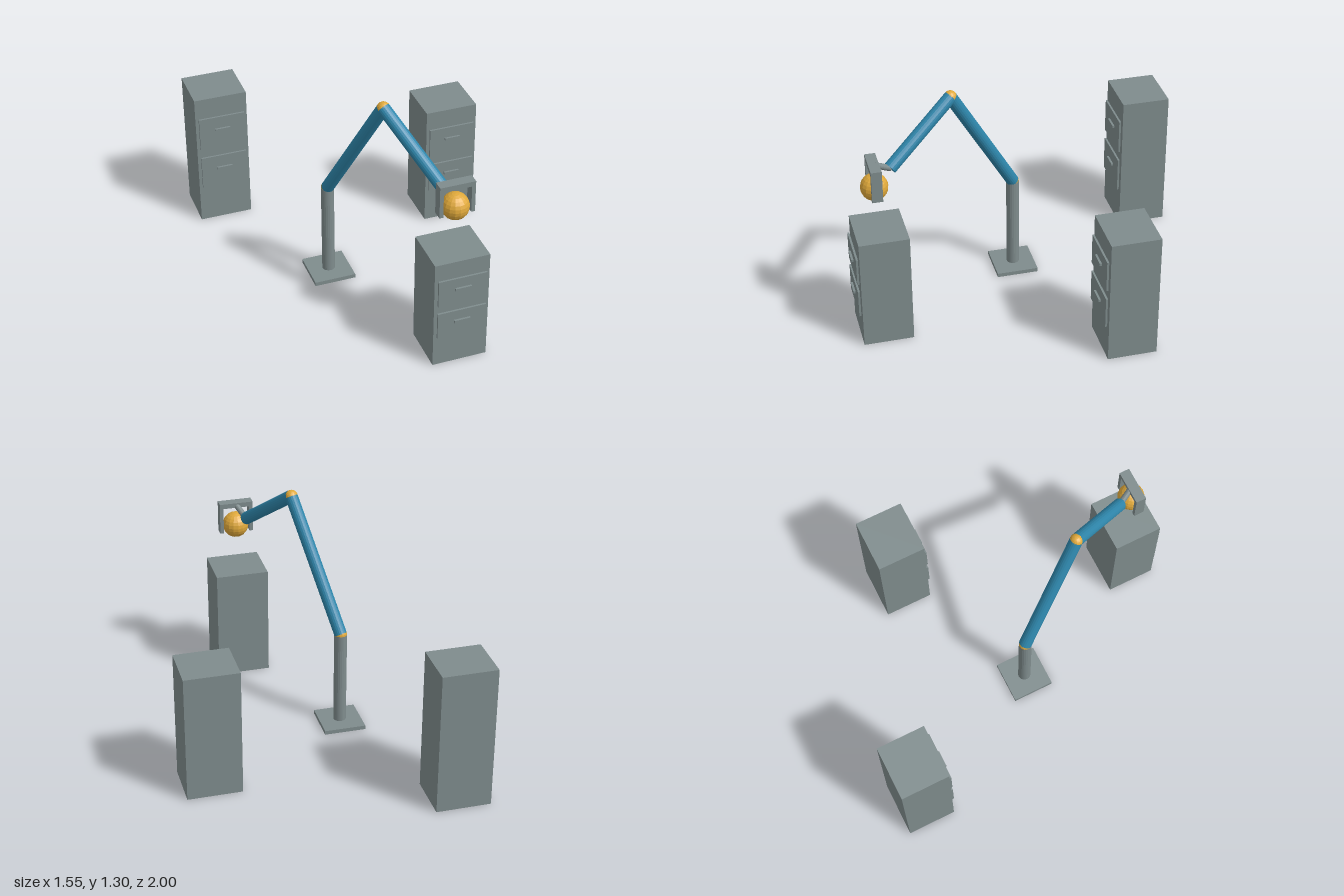
import * as THREE from 'three';

const gray = new THREE.MeshStandardMaterial({ color: 0x7f8c8d });
const blue = new THREE.MeshStandardMaterial({ color: 0x2e86ab });
const amber = new THREE.MeshStandardMaterial({ color: 0xe0a93b });
gray.name = 'steelGray';
blue.name = 'armBlue';
amber.name = 'amber';
for (const m of [gray, blue, amber]) m.flatShading = true;

function add(parent, name, geometry, material, x, y, z) {
  const mesh = new THREE.Mesh(geometry, material);
  mesh.name = name;
  mesh.position.set(x, y, z);
  parent.add(mesh);
  return mesh;
}

const box = (parent, name, w, h, d, x, y, z) =>
  add(parent, name, new THREE.BoxGeometry(w, h, d), gray, x, y, z);

const ball = (parent, name, r, p) =>
  add(parent, name, new THREE.SphereGeometry(r, 16, 12), amber, p.x, p.y, p.z);

// Cylinder running from point a to point b
function rod(parent, name, a, b, r, material) {
  const dir = b.clone().sub(a);
  const mid = a.clone().add(b).multiplyScalar(0.5);
  const mesh = add(parent, name, new THREE.CylinderGeometry(r, r, dir.length(), 20), material, mid.x, mid.y, mid.z);
  mesh.quaternion.setFromUnitVectors(new THREE.Vector3(0, 1, 0), dir.normalize());
}

// Cabinet with two drawers whose heights follow the cabinet height
function cabinet(x, z, h) {
  const g = new THREE.Group();
  g.name = 'cabinet';
  g.position.set(x, 0, z);
  const w = 0.305, d = 0.275, front = d / 2;
  box(g, 'cabinetBody', w, h, d, 0, h / 2, 0);
  for (const level of [0.407, 0.727]) {
    box(g, 'drawerFront', 0.27, h * 0.246, 0.011, 0, h * level, front + 0.0105);
    box(g, 'drawerHandle', 0.09, 0.014, 0.012, 0, h * (level + 0.025), front + 0.022);
  }
  return g;
}

// Robot arm from floor plate to wrist
function robotArm() {
  const g = new THREE.Group();
  g.name = 'robotArm';
  const r = 0.036;
  const shoulder = new THREE.Vector3(-0.229, 0.57, 0);
  const elbow = new THREE.Vector3(-0.048, 1.265, 0.383);
  const wrist = new THREE.Vector3(0.127, 0.985, 0.752);

  box(g, 'basePlate', 0.237, 0.023, 0.237, shoulder.x, 0.0115, 0);
  rod(g, 'column', new THREE.Vector3(shoulder.x, 0.02, 0), shoulder, r, gray);
  ball(g, 'shoulderJoint', r, shoulder);
  rod(g, 'upperArm', shoulder, elbow, r, blue);
  ball(g, 'elbowJoint', r, elbow);
  rod(g, 'forearm', elbow, wrist, r, blue);
  rod(g, 'wristLink', wrist, new THREE.Vector3(0.167, 1.041, 0.842), 0.017, gray);
  return g;
}

// Bracket-shaped gripper holding a ball
function gripper() {
  const g = new THREE.Group();
  g.name = 'gripper';
  g.position.set(0.168, 0, 0.848);
  box(g, 'gripperBar', 0.195, 0.028, 0.058, 0, 1.041, 0);
  for (const side of [-1, 1]) box(g, 'gripperFinger', 0.021, 0.155, 0.058, side * 0.087, 0.9495, 0);
  ball(g, 'heldBall', 0.075, new THREE.Vector3(0, 0.91, 0));
  return g;
}

export function createModel() {
  const model = new THREE.Group();
  model.name = 'robotArmWithCabinets';
  model.add(
    robotArm(),
    gripper(),
    cabinet(-0.622, -0.8625, 0.82),
    cabinet(0.167, 0.8345, 0.65),
    cabinet(0.62, -0.411, 0.735),
  );
  return model;
}
